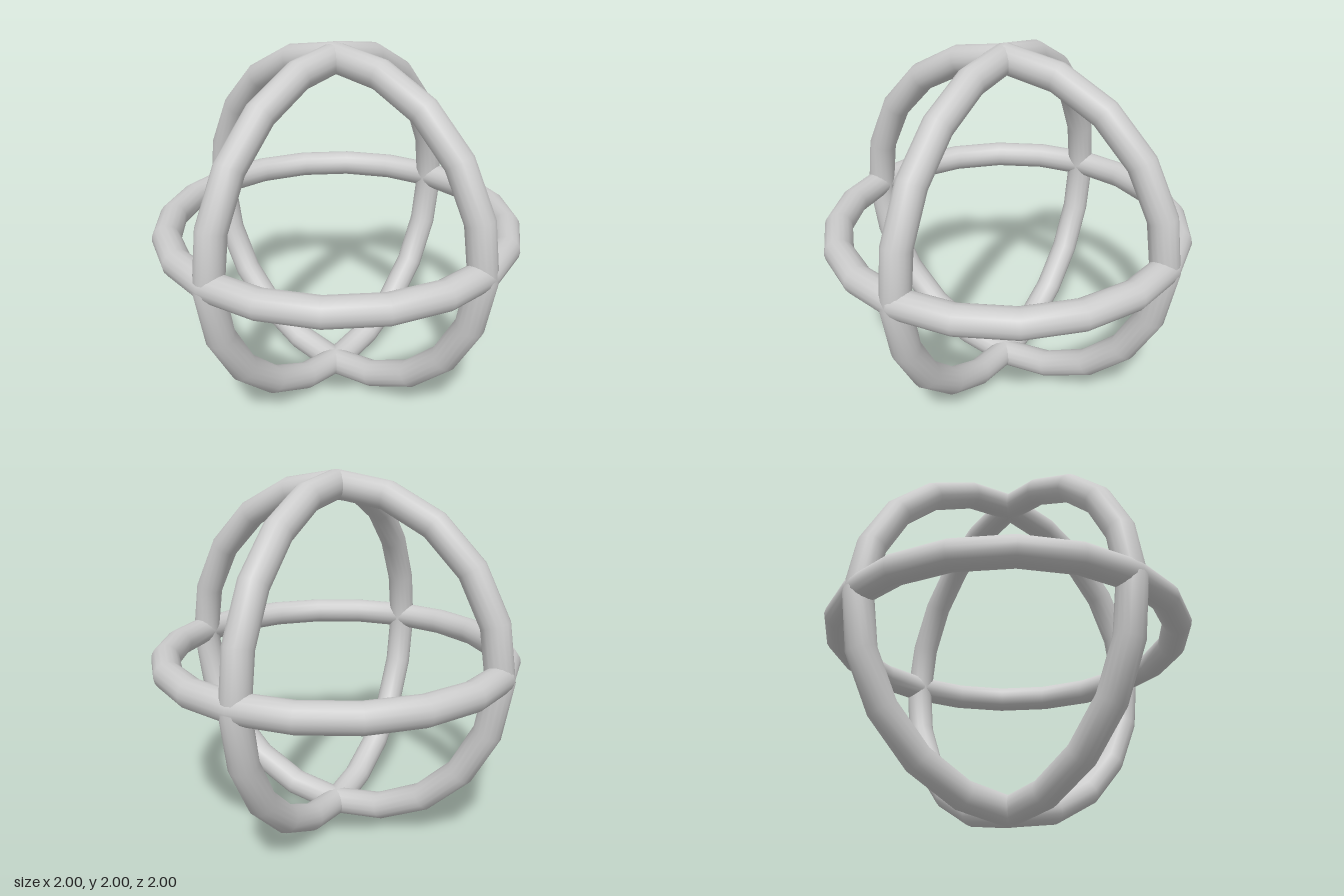
import * as THREE from 'three';

const TUBE = 0.076;
const RADIUS = 1 - TUBE;

export function createModel() {
  const model = new THREE.Group();
  model.name = 'ringSphere';
  const material = new THREE.MeshStandardMaterial({ color: 0xcccccc });
  // 20-sided hoop with a smooth round section
  const hoop = new THREE.TorusGeometry(RADIUS, TUBE, 16, 20);

  const addRing = (name, position, rotation) => {
    const ring = new THREE.Mesh(hoop, material);
    ring.name = name;
    ring.position.set(...position);
    ring.rotation.set(...rotation);
    model.add(ring);
  };

  // three interlocked hoops at right angles, two of them slightly off centre
  addRing('frontRing', [0, 1, 0], [0, 0, 0]);
  addRing('sideRing', [-0.018, 1, 0], [0, Math.PI / 2, 0]);
  addRing('levelRing', [0, 1.018, 0], [Math.PI / 2, 0, 0]);

  return model;
}
